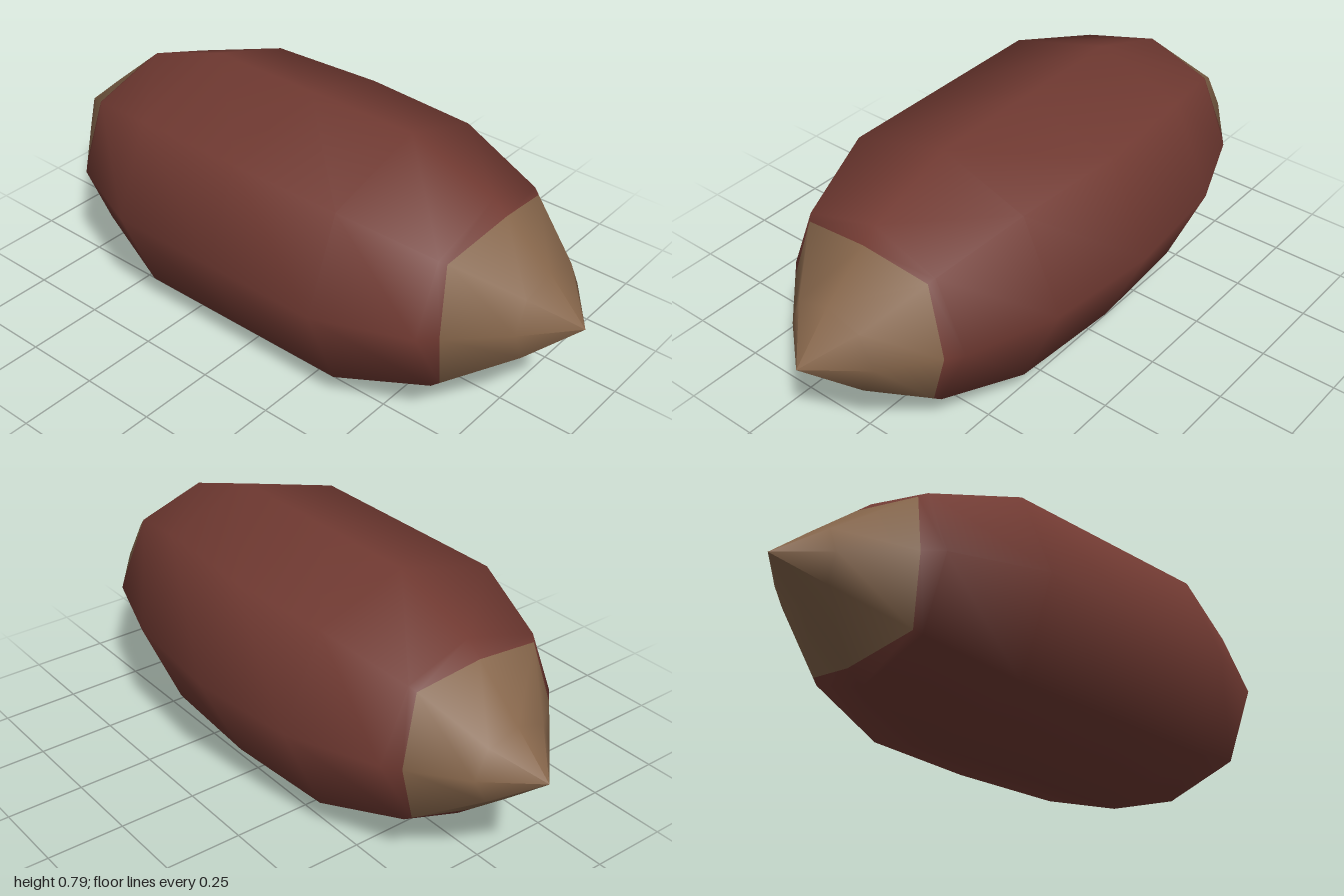
import * as THREE from 'three';

const CENTRE_Y = 0.3925;

// Rings from front tip to back tip: z, half-width on -x, half-width on +x, half-height
const front = [[1, 0, 0, 0], [0.87, 0.15, 0.17, 0.135]];
const middle = [
  [0.67, 0.345, 0.32, 0.295], [0.38, 0.46, 0.42, 0.3925], [0, 0.46, 0.456, 0.3925],
  [-0.375, 0.46, 0.42, 0.3925], [-0.66, 0.345, 0.305, 0.295],
];
const back = [[-0.87, 0.133, 0.15, 0.115], [-1, 0, 0, 0]];

// Eight points of one faceted cross-section
function ringPoints([z, left, right, height]) {
  const points = [];
  for (let k = 0; k < 8; k++) {
    const c = Math.sign(Math.round(Math.cos(k * Math.PI / 4) * 10));
    const s = Math.sign(Math.round(Math.sin(k * Math.PI / 4) * 10));
    const diagonal = c !== 0 && s !== 0;
    const x = c < 0 ? -left * (diagonal ? 0.74 : 1) : c * right * (diagonal ? 0.69 : 1);
    const y = s * height * (diagonal ? 0.75 : 1);
    points.push(new THREE.Vector3(x, y + CENTRE_Y, z));
  }
  return points;
}

// Scalloped colour boundary lying on the surface between two rings
function boundary(inner, outer) {
  return inner.map((p, k) => p.clone().lerp(outer[k], k % 2 ? 0.1 : 0.24));
}

export function createModel() {
  const group = new THREE.Group();
  const skin = new THREE.MeshStandardMaterial({ color: 0x713a32 });
  skin.name = 'reddish brown skin';
  const tan = new THREE.MeshStandardMaterial({ color: 0x85654a });
  tan.name = 'tan tip';

  const f = front.map(ringPoints), m = middle.map(ringPoints), b = back.map(ringPoints);
  const rings = [...f, boundary(m[0], f[1]), ...m, boundary(m[4], b[0]), ...b];

  // Index of the faces between two rings, skipping collapsed triangles at the tips
  const faces = (from, to) => {
    const index = [];
    for (let i = from; i < to; i++) {
      for (let k = 0; k < 8; k++) {
        const n = (k + 1) % 8;
        const p = i * 8 + k, q = i * 8 + n, r = p + 8, s = q + 8;
        if (i > 0) index.push(p, r, q);
        if (i < rings.length - 2) index.push(q, r, s);
      }
    }
    return index;
  };

  // Whole surface first, so the smooth normals run across the colour boundaries
  const last = rings.length - 1;
  const whole = new THREE.BufferGeometry().setFromPoints(rings.flat());
  whole.setIndex(faces(0, last));
  whole.computeVertexNormals();

  const addPart = (name, from, to, material) => {
    const geometry = whole.clone();
    geometry.setIndex(faces(from, to));
    const mesh = new THREE.Mesh(geometry, material);
    mesh.name = name;
    group.add(mesh);
  };
  addPart('frontTip', 0, 2, tan);
  addPart('body', 2, last - 2, skin);
  addPart('backTip', last - 2, last, tan);

  group.name = 'pointedPod';
  return group;
}
